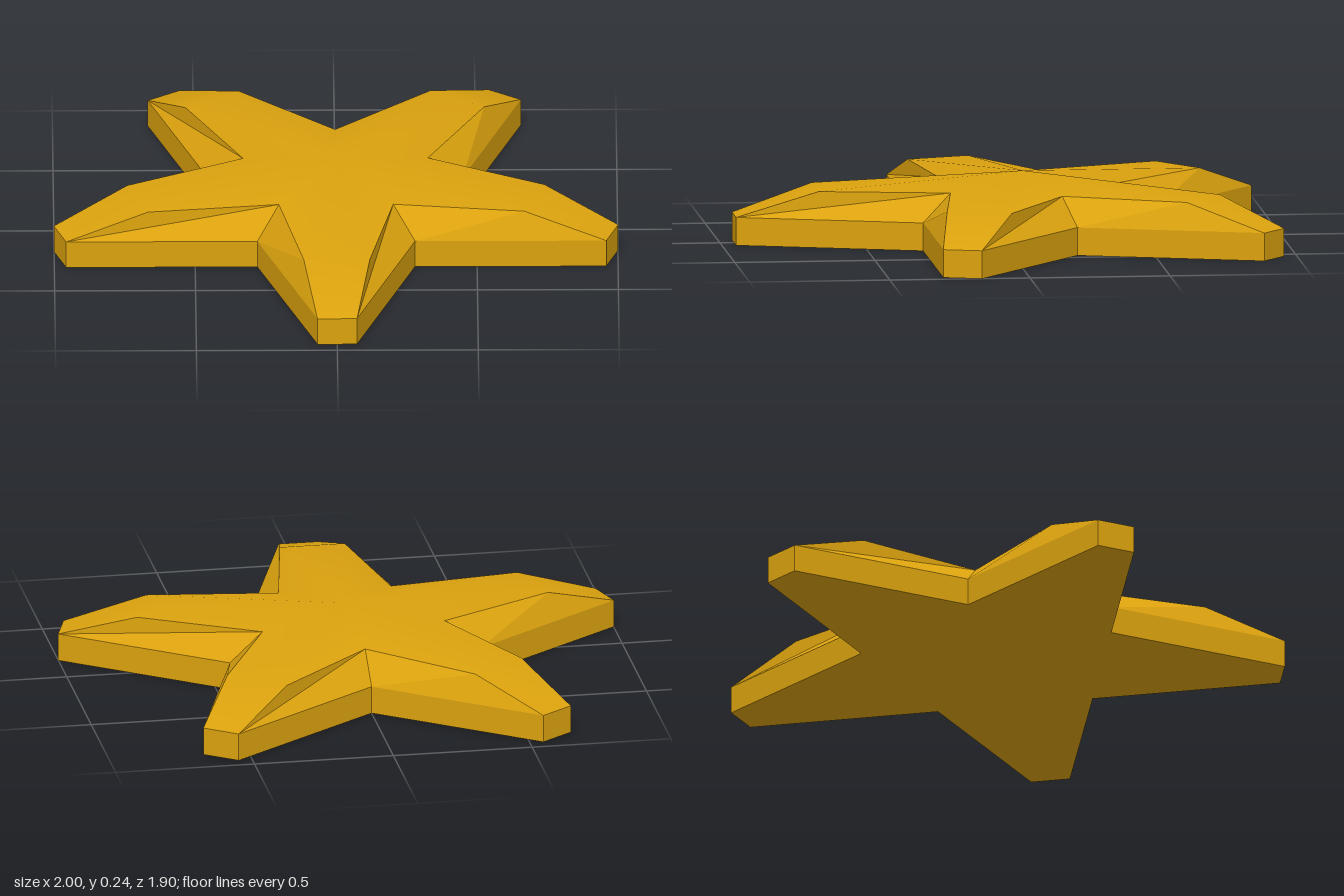
import * as THREE from 'three';

const ARMS = 5;
const CENTRE_Z = -0.08;
const BASE_H = 0.1, SHOULDER_H = 0.195, APEX_H = 0.243;

// Point on arm k: u across the arm, v outwards from the centre, y up
function armPoint(k, u, y, v) {
  const a = (k * 2 * Math.PI) / ARMS;
  return [
    u * Math.cos(a) + v * Math.sin(a),
    y,
    CENTRE_Z - u * Math.sin(a) + v * Math.cos(a),
  ];
}

function geometryFrom(points, index) {
  let g = new THREE.BufferGeometry();
  g.setAttribute('position', new THREE.Float32BufferAttribute(points.flat(), 3));
  if (index) g.setIndex(index);
  g.computeVertexNormals();
  return g;
}

export function createModel() {
  const gold = new THREE.MeshStandardMaterial({ color: 0xdba20e });
  gold.name = 'gold';
  const group = new THREE.Group();
  group.name = 'star';
  const add = (name, geometry) => {
    const mesh = new THREE.Mesh(geometry, gold);
    mesh.name = name;
    group.add(mesh);
  };

  // Key points of each arm
  const tip = (k, s, y) => armPoint(k, s * 0.07, y, 1.03);
  const shoulder = (k, s) => armPoint(k, s * 0.117, SHOULDER_H, 0.74);
  const notch = (k, y) => armPoint(k + 0.5, 0, y, 0.476);
  const innerNotch = (k) => armPoint(k + 0.5, 0, SHOULDER_H, 0.345);

  // Smooth domed top: apex, then five points per arm
  const top = [[0, APEX_H, CENTRE_Z]];
  const topIndex = [];
  for (let k = 0; k < ARMS; k++) {
    top.push(shoulder(k, -1), tip(k, -1, BASE_H), tip(k, 1, BASE_H), shoulder(k, 1), innerNotch(k));
    const sl = 1 + k * 5, tl = sl + 1, tr = sl + 2, sr = sl + 3, n = sl + 4;
    const next = 1 + ((k + 1) % ARMS) * 5;
    topIndex.push(sl, tl, tr, sl, tr, sr, 0, sl, sr, 0, sr, n, 0, n, next);
  }
  add('domedTop', geometryFrom(top, topIndex));

  // Flat bevels, upright walls and underside
  const bevels = [], walls = [], underside = [];
  const quad = (list, a, b, c, d) => list.push(a, b, c, a, c, d);
  for (let k = 0; k < ARMS; k++) {
    quad(bevels, notch(k - 1, BASE_H), tip(k, -1, BASE_H), shoulder(k, -1), innerNotch(k - 1));
    quad(bevels, tip(k, 1, BASE_H), notch(k, BASE_H), innerNotch(k), shoulder(k, 1));

    const outline = (y) => [notch(k - 1, y), tip(k, -1, y), tip(k, 1, y), notch(k, y)];
    const low = outline(0), high = outline(BASE_H);
    for (let i = 0; i < 3; i++) {
      quad(walls, low[i], low[i + 1], high[i + 1], high[i]);
      underside.push([0, 0, CENTRE_Z], low[i + 1], low[i]);
    }
  }
  add('armBevels', geometryFrom(bevels));
  add('sideWalls', geometryFrom(walls));
  add('underside', geometryFrom(underside));

  return group;
}
